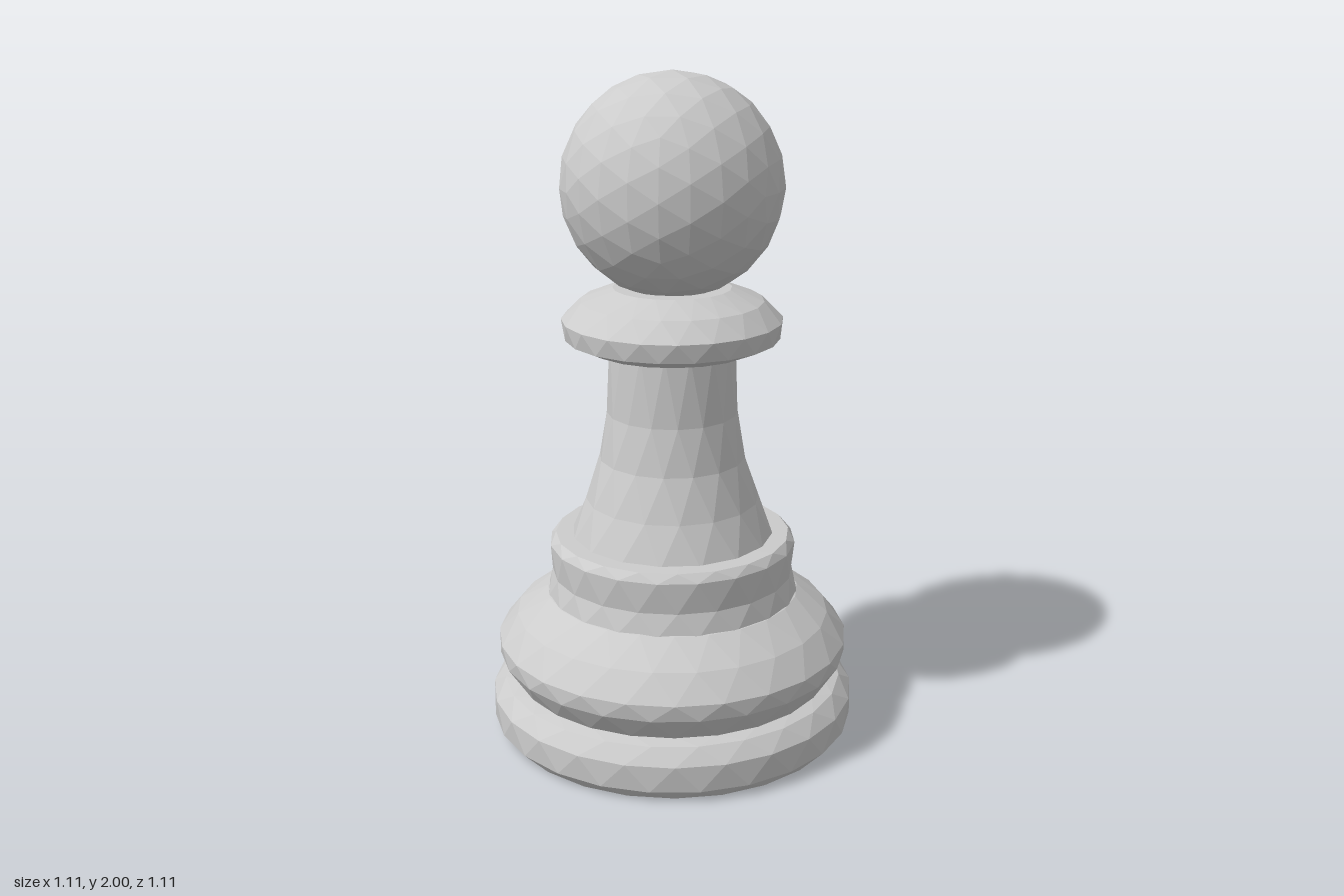
import * as THREE from 'three';

const material = new THREE.MeshStandardMaterial({ color: 0xcccccc, flatShading: true });

// Faceted turned part: profile of [radius, height] from bottom to top,
// each ring turned half a step further so the facets become triangles.
function turned(name, sides, profile) {
  const points = profile.map(([r, y]) => new THREE.Vector2(r, y));
  const geometry = new THREE.LatheGeometry(points, sides);
  const pos = geometry.attributes.position;
  const v = new THREE.Vector3();
  const up = new THREE.Vector3(0, 1, 0);
  for (let i = 0; i < pos.count; i++) {
    const ring = i % points.length;
    v.fromBufferAttribute(pos, i).applyAxisAngle(up, (ring * Math.PI) / sides);
    pos.setXYZ(i, v.x, v.y, v.z);
  }
  geometry.computeVertexNormals();
  const mesh = new THREE.Mesh(geometry, material);
  mesh.name = name;
  return mesh;
}

export function createModel() {
  const group = new THREE.Group();
  group.name = 'pawn';

  // Foot disc with closed underside
  group.add(turned('foot', 24, [
    [0, 0], [0.525, 0], [0.556, 0.035], [0.558, 0.115], [0.52, 0.16], [0.48, 0.172], [0, 0.172],
  ]));

  // Bulging skirt above the foot
  group.add(turned('skirt', 24, [
    [0.44, 0.165], [0.485, 0.17], [0.533, 0.245], [0.536, 0.295], [0.478, 0.37], [0.385, 0.438], [0.3, 0.46],
  ]));

  // Upright band with a flat ledge
  group.add(turned('band', 20, [
    [0.385, 0.43], [0.367, 0.5], [0.374, 0.595], [0.355, 0.62], [0.2, 0.625],
  ]));

  // Tapering stem
  group.add(turned('stem', 16, [
    [0.31, 0.61], [0.262, 0.73], [0.22, 0.86], [0.196, 1.0], [0.188, 1.21],
  ]));

  // Collar below the head
  group.add(turned('collar', 20, [
    [0.1, 1.205], [0.25, 1.2], [0.318, 1.23], [0.327, 1.285], [0.27, 1.34], [0.175, 1.378], [0, 1.38],
  ]));

  // Round head
  const head = new THREE.Mesh(new THREE.IcosahedronGeometry(0.326, 3), material);
  head.name = 'head';
  head.position.y = 1.674;
  group.add(head);

  return group;
}
